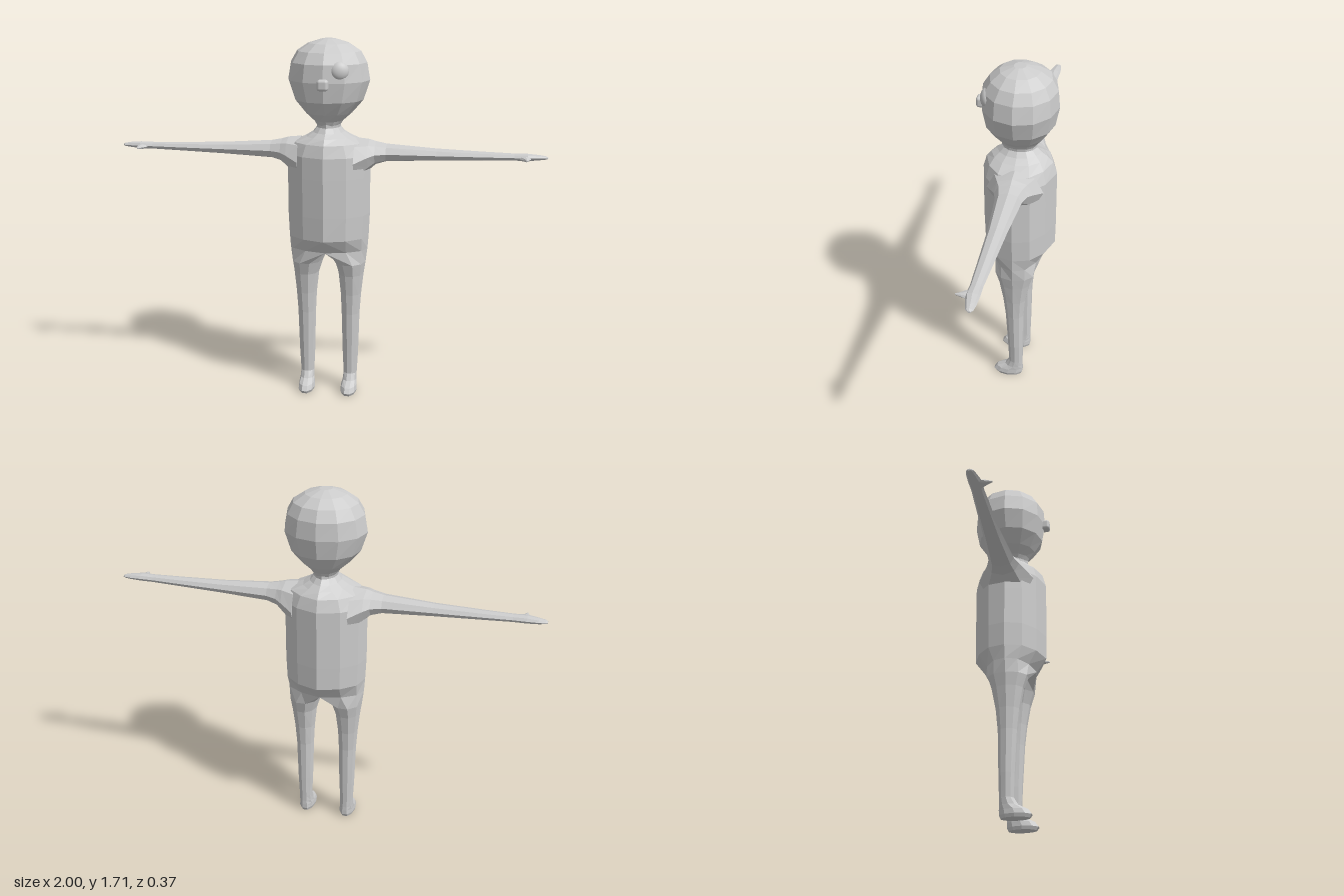
import * as THREE from 'three';
import { RoundedBoxGeometry } from 'three/addons/geometries/RoundedBoxGeometry.js';

const grey = new THREE.MeshStandardMaterial({ color: 0xcccccc });
grey.name = 'plain grey';

// Faceted skin over a list of rings of [x, y, z] points, capped at both ends
function loft(rings, flip) {
  const n = rings[0].length, pos = [];
  const tri = (a, b, c) => pos.push(...a, ...(flip ? c : b), ...(flip ? b : c));
  const mid = (r) => [0, 1, 2].map((k) => r.reduce((s, p) => s + p[k], 0) / n);
  for (let i = 0; i < rings.length - 1; i++) {
    for (let j = 0; j < n; j++) {
      const k = (j + 1) % n, p = rings[i], q = rings[i + 1];
      tri(p[j], p[k], q[k]);
      tri(p[j], q[k], q[j]);
    }
  }
  const first = rings[0], last = rings[rings.length - 1];
  for (let j = 0; j < n; j++) {
    const k = (j + 1) % n;
    tri(mid(first), first[k], first[j]);
    tri(mid(last), last[j], last[k]);
  }
  const g = new THREE.BufferGeometry();
  g.setAttribute('position', new THREE.Float32BufferAttribute(pos, 3));
  g.computeVertexNormals();
  return g;
}

// Unit outlines [x, z], starting at the front and turning towards +x
const quarter = [[0, 1], [0.52, 0.8], [0.88, 0.46], [1, 0]];
const ridged = [
  ...quarter,
  ...quarter.slice(0, 3).reverse().map(([x, z]) => [x, -z]),
  ...quarter.slice(1).map(([x, z]) => [-x, -z]),
  ...quarter.slice(1, 3).reverse().map(([x, z]) => [-x, z]),
];
const round = Array.from({ length: 12 }, (_, i) => [Math.sin(i * Math.PI / 6), Math.cos(i * Math.PI / 6)]);

// Upright section from half width, front and back
const section = (outline, [y, rx, front, back]) =>
  outline.map(([x, z]) => [x * rx, y, (front + back) / 2 + z * (front - back) / 2]);

export function createModel() {
  const model = new THREE.Group();
  const add = (name, geometry, parent = model) => {
    const m = new THREE.Mesh(geometry, grey);
    m.name = name;
    parent.add(m);
    return m;
  };

  // Torso and neck: height, half width, front, back
  add('torso', loft([
    [0.79, 0.19, 0.16, -0.176],
    [0.9, 0.195, 0.163, -0.178],
    [1.08, 0.195, 0.163, -0.178],
    [1.18, 0.195, 0.162, -0.178],
    [1.236, 0.165, 0.146, -0.16],
    [1.262, 0.105, 0.125, -0.135],
    [1.282, 0.073, 0.098, -0.108],
    [1.305, 0.055, 0.076, -0.086],
    [1.34, 0.06, 0.076, -0.086],
  ].map((r) => section(ridged, r))));

  // Head
  add('head', loft([
    [1.312, 0.053, 0.07, -0.08],
    [1.335, 0.068, 0.082, -0.094],
    [1.37, 0.108, 0.11, -0.125],
    [1.43, 0.16, 0.148, -0.165],
    [1.52, 0.19, 0.163, -0.183],
    [1.6, 0.176, 0.157, -0.176],
    [1.65, 0.148, 0.125, -0.15],
    [1.685, 0.095, 0.082, -0.1],
    [1.705, 0.03, 0.02, -0.035],
  ].map((r) => section(round, r))));

  // Single eye on the left of the face, and a small block nose
  const eye = add('eye', new THREE.SphereGeometry(0.042, 24, 16));
  eye.position.set(0.07, 1.575, 0.128);
  eye.rotation.set(-0.15, 0.3, 0);
  eye.scale.z = 0.6;
  add('nose', new RoundedBoxGeometry(0.05, 0.05, 0.045, 3, 0.013)).position.set(0, 1.514, 0.164);

  for (const s of [1, -1]) {
    const side = s > 0 ? 'left' : 'right';

    // Arm and hand: distance out, top, bottom, front, back
    const arm = [
      [0.13, 1.255, 1.05, 0.12, -0.14],
      [0.19, 1.249, 1.105, 0.085, -0.105],
      [0.22, 1.24, 1.132, 0.066, -0.086],
      [0.27, 1.23, 1.147, 0.05, -0.07],
      [0.5, 1.214, 1.158, 0.032, -0.052],
      [0.7, 1.207, 1.165, 0.025, -0.042],
      [0.85, 1.203, 1.17, 0.02, -0.034],
      [0.91, 1.204, 1.17, 0.024, -0.035],
      [0.96, 1.199, 1.174, 0.012, -0.033],
      [0.99, 1.194, 1.178, 0.004, -0.028],
      [1.0, 1.189, 1.181, -0.006, -0.02],
    ].map(([x, top, bottom, front, back]) => Array.from({ length: 8 }, (_, i) => {
      const a = i * Math.PI / 4;
      return [s * x, (top + bottom) / 2 + Math.cos(a) * (top - bottom) / 2,
        (front + back) / 2 + Math.sin(a) * (front - back) / 2];
    }));
    add(side + 'Arm', loft(arm, s < 0));

    // Thumb
    const thumb = add(side + 'Thumb', loft([
      [0.0, 0.035, 0.013, 0.896],
      [0.026, 0.022, 0.011, 0.9],
      [0.045, 0.011, 0.008, 0.904],
      [0.065, 0.003, 0.003, 0.906],
    ].map(([z, rx, ry, cx]) => Array.from({ length: 8 }, (_, i) => {
      const a = i * Math.PI / 4;
      return [s * cx + Math.cos(a) * rx, Math.sin(a) * ry, z];
    }))));
    thumb.position.y = 1.183;

    // Hips: half of the torso outline closed along the middle
    const hip = ([y, rx, front, back]) => [
      ...section(ridged, [y, rx, front, back]).slice(0, 7),
      ...[0.25, 0.5, 0.75].map((t) => [0, y, back + (front - back) * t]),
    ];
    // Leg and foot: height, inner x, outer x, front, back
    const leg = [
      [0.66, 0.028, 0.177, 0.09, -0.1],
      [0.6, 0.047, 0.168, 0.07, -0.08],
      [0.5, 0.058, 0.157, 0.052, -0.06],
      [0.4, 0.063, 0.15, 0.041, -0.05],
      [0.2, 0.068, 0.144, 0.03, -0.046],
      [0.09, 0.073, 0.138, 0.026, -0.043],
      [0.058, 0.071, 0.139, 0.046, -0.043],
      [0.037, 0.066, 0.142, 0.09, -0.045],
      [0.015, 0.064, 0.144, 0.106, -0.045],
      [0, 0.069, 0.139, 0.095, -0.038],
    ].map(([y, inner, outer, front, back]) => Array.from({ length: 10 }, (_, i) => {
      const a = Math.PI / 2 + (i - 3) * Math.PI / 5;
      return [(inner + outer) / 2 + Math.sin(a) * (outer - inner) / 2, y,
        (front + back) / 2 + Math.cos(a) * (front - back) / 2];
    }));
    const rings = [hip([0.79, 0.19, 0.16, -0.176]), hip([0.725, 0.185, 0.115, -0.128]), ...leg]
      .map((ring) => ring.map(([x, y, z]) => [s * x, y, z]));
    add(side + 'Leg', loft(rings, s > 0));
  }
  return model;
}
